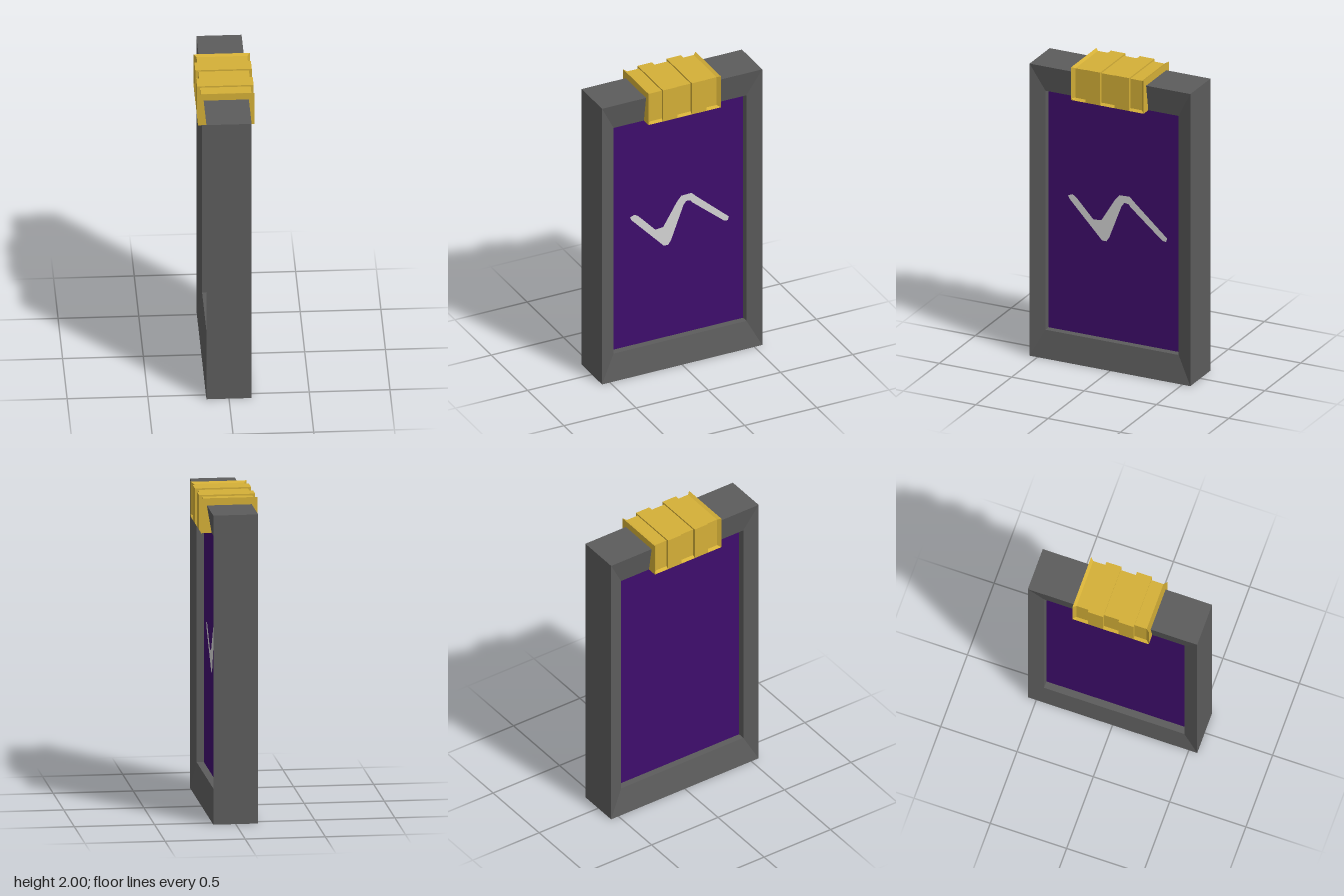
import * as THREE from 'three';

const mat = (name, color) => {
  const m = new THREE.MeshStandardMaterial({ color });
  m.name = name;
  return m;
};

const mesh = (name, geometry, material) => {
  const m = new THREE.Mesh(geometry, material);
  m.name = name;
  return m;
};

// Joins closed loops with flat quads; loops run counterclockwise seen from the first one
function loft(loops) {
  const pos = [];
  for (let i = 0; i < loops.length - 1; i++) {
    const p = loops[i], q = loops[i + 1], n = p.length;
    for (let j = 0; j < n; j++) {
      const k = (j + 1) % n;
      pos.push(...p[j], ...q[j], ...p[k], ...p[k], ...q[j], ...q[k]);
    }
  }
  const g = new THREE.BufferGeometry();
  g.setAttribute('position', new THREE.Float32BufferAttribute(pos, 3));
  g.computeVertexNormals();
  return g;
}

// Upright rectangle in the z-y plane
const rect = (x, hz, y0, y1) => [[x, y0, hz], [x, y0, -hz], [x, y1, -hz], [x, y1, hz]];

// U-shaped section of the clip; groove runs from 0 (full size) to 1 (recessed)
function clipSection(groove) {
  const w = 0.175 - 0.018 * groove, top = 2 - 0.01 * groove;
  return [
    [0.175, 1.78], [w, 1.793], [w, top], [-w, top], [-w, 1.793], [-0.175, 1.78],
    [-0.1, 1.78], [-0.1, 1.85], [0.1, 1.85], [0.1, 1.78],
  ];
}

export function createModel() {
  const model = new THREE.Group();
  const grey = mat('frame grey', 0x5c5c5c);
  const purple = mat('panel purple', 0x3e0d6c);
  const gold = mat('clip gold', 0xd4af37);
  const pale = mat('mark pale grey', 0xd3d3d3);

  // Frame with inward-sloping faces and a recess on both sides
  const inner = (x) => rect(x, 0.46, 0.18, 1.78);
  const outer = (x) => rect(x, 0.555, 0, 1.955);
  model.add(mesh('frame', loft([
    inner(0.06), inner(0.11), outer(0.14), outer(-0.14), inner(-0.11), inner(-0.06),
  ]), grey));

  // Recessed panel
  const panel = mesh('panel', new THREE.BoxGeometry(0.13, 1.6, 0.92), purple);
  panel.position.y = 0.98;
  model.add(panel);

  // Ribbed clip over the top edge
  const clip = new THREE.Group();
  clip.name = 'clip';
  const half = [[0.25, 0], [0.23, 1], [0.15, 1], [0.15, 0], [0.05, 0], [0.05, 1]];
  const stations = [...half, ...half.map(([z, g]) => [-z, g]).reverse()];
  clip.add(mesh('clipBody', loft(
    stations.map(([z, g]) => clipSection(g).map(([x, y]) => [x, y, z])),
  ), gold));
  const capShape = new THREE.Shape(clipSection(0).map(([x, y]) => new THREE.Vector2(x, y)));
  for (const side of [1, -1]) {
    const cap = mesh('clipEnd', new THREE.ShapeGeometry(capShape), gold);
    cap.position.z = 0.25 * side;
    if (side < 0) cap.rotation.y = Math.PI;
    clip.add(cap);
  }
  model.add(clip);

  // Painted zigzag stroke on the left panel face, outlined in z and y
  const stroke = [
    [0.325, 1.09], [0.295, 1.102], [0.27, 1.088], [0.15, 0.96], [0.095, 0.965],
    [0, 1.12], [-0.03, 1.155], [-0.1, 1.158], [-0.14, 1.12], [-0.36, 0.925],
    [-0.352, 0.9], [-0.325, 0.905], [-0.105, 1.09], [-0.095, 1.105], [-0.065, 1.11],
    [-0.045, 1.085], [0.04, 0.86], [0.06, 0.83], [0.09, 0.83], [0.315, 1.068],
  ];
  const strokeShape = new THREE.Shape(stroke.map(([z, y]) => new THREE.Vector2(-z, y)));
  const zigzag = mesh('zigzagStroke', new THREE.ShapeGeometry(strokeShape), pale);
  zigzag.rotation.y = Math.PI / 2;
  zigzag.position.x = 0.068;
  model.add(zigzag);

  return model;
}
